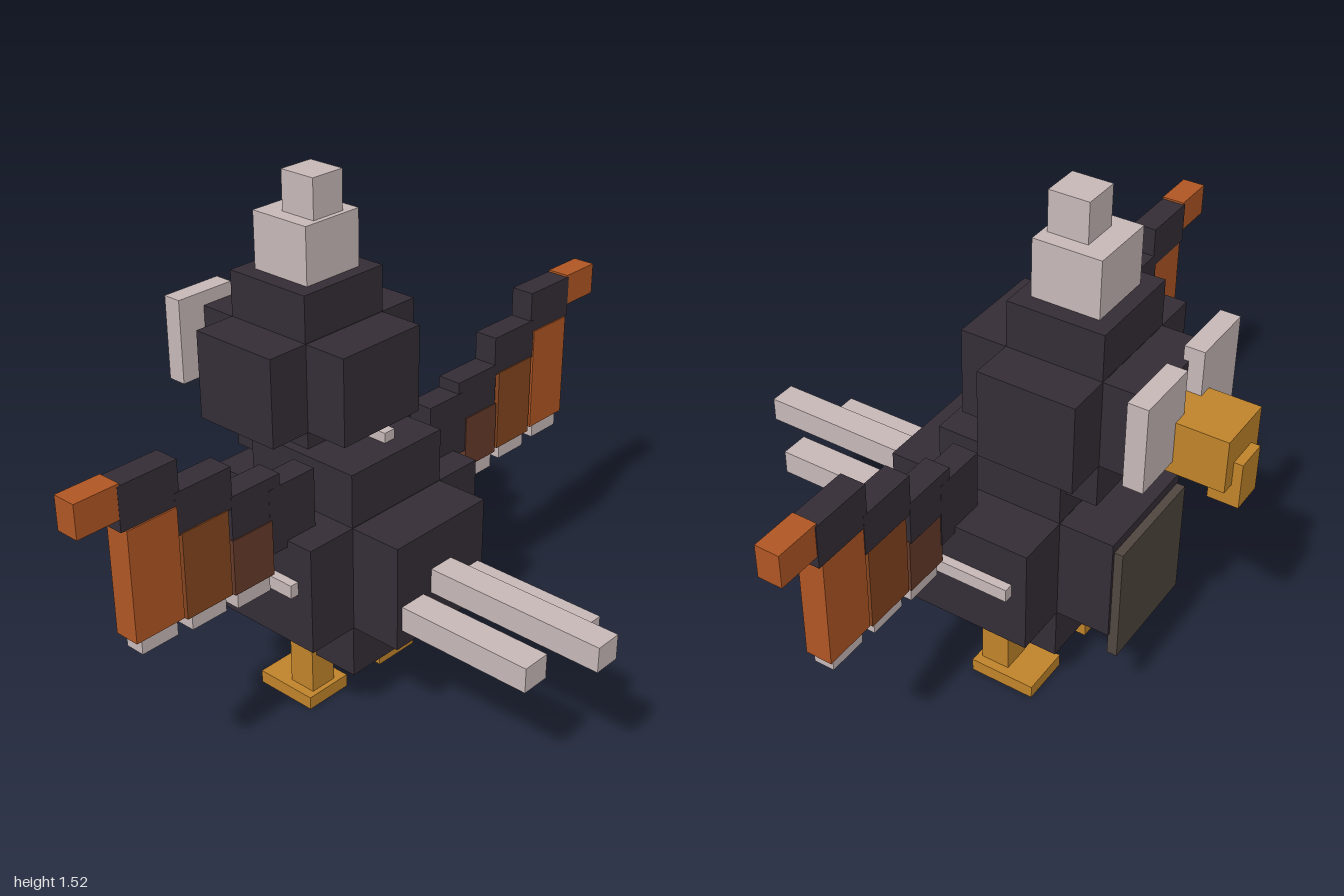
import * as THREE from 'three';

const mat = (name, color) => new THREE.MeshStandardMaterial({ name, color });

export function createModel() {
  const dark = mat('darkPlumage', 0x342d36);
  const pale = mat('palePink', 0xc8b8b8);
  const gold = mat('gold', 0xc0832a);
  const orange = mat('orange', 0xb05623);
  const rust = mat('rust', 0x84451f);
  const brown = mat('brown', 0x653a2a);
  const grey = mat('bellyGrey', 0x50463f);

  const model = new THREE.Group();
  model.name = 'bird';

  // Box given by its extents on each axis
  const box = (name, material, [x0, x1], [y0, y1], [z0, z1]) => {
    const mesh = new THREE.Mesh(new THREE.BoxGeometry(x1 - x0, y1 - y0, z1 - z0), material);
    mesh.position.set((x0 + x1) / 2, (y0 + y1) / 2, (z0 + z1) / 2);
    mesh.name = name;
    model.add(mesh);
  };
  // The same box on both sides
  const pair = (name, material, [x0, x1], y, z) => {
    box(name + 'Left', material, [x0, x1], y, z);
    box(name + 'Right', material, [-x1, -x0], y, z);
  };

  // Body: three crossing blocks
  box('bodyWide', dark, [-0.34, 0.34], [0.32, 0.64], [-0.33, 0.05]);
  box('bodyTall', dark, [-0.18, 0.18], [0.16, 0.8], [-0.329, 0.049]);
  box('bodyLong', dark, [-0.179, 0.179], [0.321, 0.639], [-0.49, 0.21]);
  box('belly', grey, [-0.17, 0.17], [0.25, 0.61], [-0.515, -0.485]);
  pair('sideFeather', pale, [0.33, 0.367], [0.485, 0.525], [-0.285, 0]);

  // Head: three crossing blocks
  box('headWide', dark, [-0.28, 0.28], [0.85, 1.11], [-0.42, -0.14]);
  box('headTall', dark, [-0.15, 0.15], [0.72, 1.245], [-0.419, -0.141]);
  box('headLong', dark, [-0.149, 0.149], [0.851, 1.109], [-0.55, -0.005]);
  box('napeFeather', pale, [0.015, 0.055], [0.79, 0.83], [-0.13, -0.01]);

  // Crest, eyes and beak
  box('crestBase', pale, [-0.1, 0.1], [1.245, 1.41], [-0.375, -0.18]);
  box('crestTip', pale, [-0.055, 0.055], [1.41, 1.525], [-0.31, -0.195]);
  pair('eye', pale, [0.045, 0.238], [0.9, 1.15], [-0.592, -0.535]);
  box('beak', gold, [-0.088, 0.088], [0.865, 1.02], [-0.737, -0.54]);
  box('beakTip', gold, [-0.048, 0.048], [0.8, 0.935], [-0.762, -0.675]);

  // Legs and feet
  pair('leg', gold, [0.11, 0.197], [0.03, 0.21], [-0.185, -0.098]);
  pair('foot', gold, [0.072, 0.225], [0, 0.04], [-0.282, -0.082]);

  // Tail feathers
  box('tailMiddle', pale, [-0.041, 0.041], [0.44, 0.515], [0.15, 0.762]);
  pair('tailSide', pale, [0.072, 0.16], [0.375, 0.45], [0.15, 0.627]);

  // Wings: stepped arm blocks, outer tip and hanging feathers
  [
    [0.235, 0.4, 0.62, 0.815],
    [0.36, 0.53, 0.721, 0.85],
    [0.525, 0.708, 0.816, 0.936],
    [0.693, 0.875, 0.9, 1.024],
  ].forEach(([x0, x1, y0, y1], i) =>
    pair('wingArm' + (i + 1), dark, [x0, x1], [y0, y1], [-0.11 + i * 0.0005, -0.035 - i * 0.0005]));
  pair('wingTip', orange, [0.868, 1], [0.935, 1.03], [-0.106, -0.037]);

  [
    [brown, 0.394, 0.533, 0.562, 0.725, 0.515],
    [rust, 0.543, 0.696, 0.57, 0.82, 0.527],
    [orange, 0.706, 0.861, 0.58, 0.9, 0.537],
  ].forEach(([material, x0, x1, y0, y1, tipY], i) => {
    pair('wingFeather' + (i + 1), material, [x0, x1], [y0, y1], [-0.107, -0.032]);
    const mid = (x0 + x1) / 2;
    pair('featherTip' + (i + 1), pale, [mid - 0.058, mid + 0.058], [tipY, y0 + 0.02], [-0.096, -0.038]);
  });

  return model;
}
